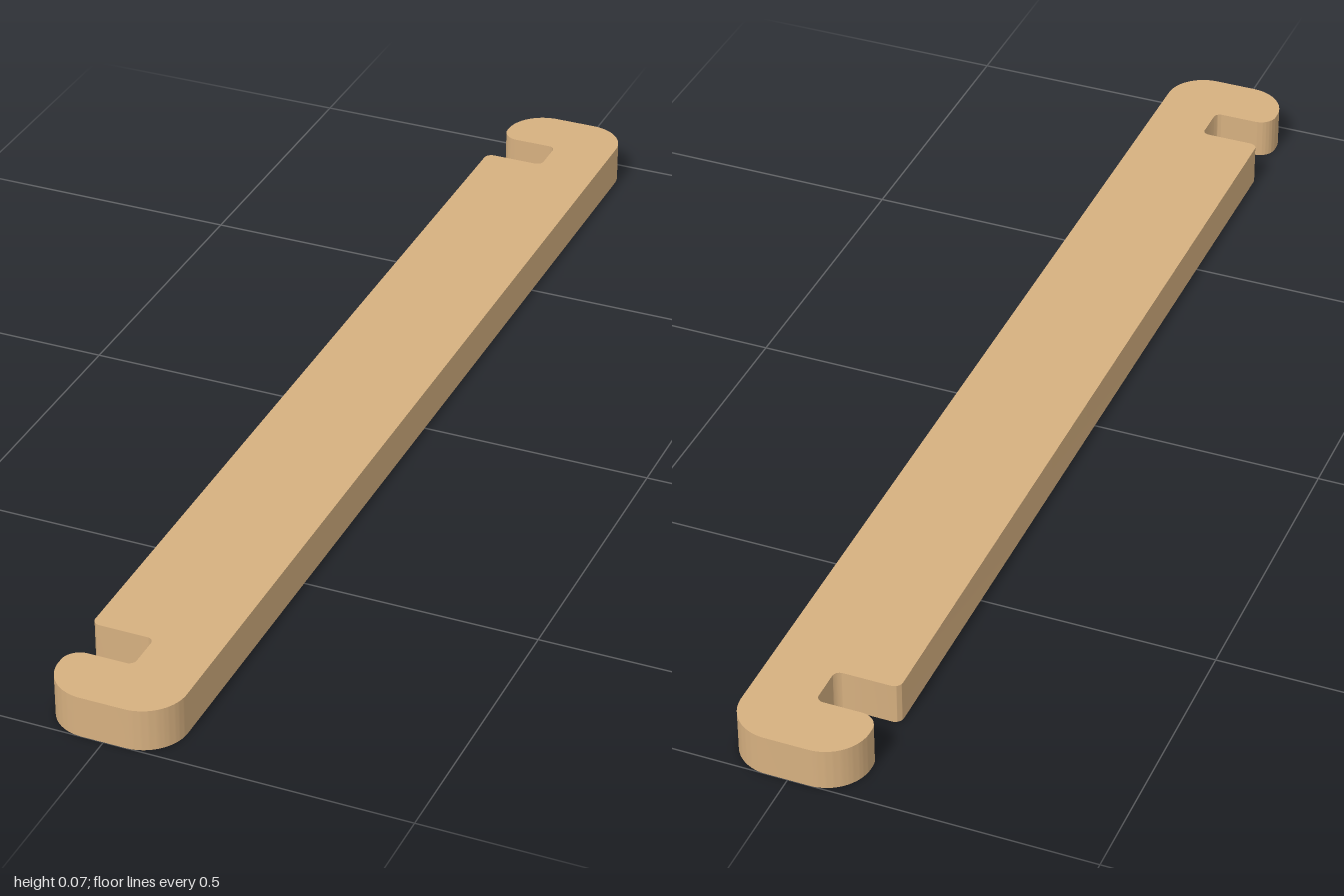
import * as THREE from 'three';
import { toCreasedNormals } from 'three/addons/utils/BufferGeometryUtils.js';

// Closed shape from corners [x, y, radius], each rounded by its radius
function roundedOutline(corners) {
  const shape = new THREE.Shape();
  const n = corners.length;
  corners.forEach(([x, y, r], i) => {
    const p = new THREE.Vector2(x, y);
    const prev = new THREE.Vector2(...corners[(i + n - 1) % n].slice(0, 2));
    const next = new THREE.Vector2(...corners[(i + 1) % n].slice(0, 2));
    const dIn = p.clone().sub(prev).normalize();
    const dOut = next.clone().sub(p).normalize();
    const a = p.clone().addScaledVector(dIn, -r);
    const b = p.clone().addScaledVector(dOut, r);
    const turn = dIn.cross(dOut); // +1 left turn, -1 right turn
    const c = a.clone().add(new THREE.Vector2(-dIn.y, dIn.x).multiplyScalar(r * turn));
    if (i === 0) shape.moveTo(a.x, a.y);
    else shape.lineTo(a.x, a.y);
    shape.absarc(c.x, c.y, r,
      Math.atan2(a.y - c.y, a.x - c.x), Math.atan2(b.y - c.y, b.x - c.x), turn < 0);
  });
  shape.closePath();
  return shape;
}

export function createModel() {
  const group = new THREE.Group();
  group.name = 'hookedBar';
  const wood = new THREE.MeshStandardMaterial({ color: 0xd6b080 });
  wood.name = 'light wood';

  const W = 0.106, H = 0.071;
  // One end: outer corner, hook tip, slot, then the shoulder of the bar
  const end = [
    [W, 1, 0.07],
    [-W, 1, 0.07],
    [-W, 0.893, 0.03],
    [0, 0.893, 0.012],
    [0, 0.82, 0.012],
    [-W, 0.82, 0.014],
  ];
  const mirrored = end.map(([x, y, r]) => [x, -y, r]).reverse();

  const geometry = new THREE.ExtrudeGeometry(roundedOutline([...end, ...mirrored]), {
    depth: H, bevelEnabled: false, curveSegments: 14,
  });
  geometry.rotateX(Math.PI / 2).translate(0, H, 0);

  const bar = new THREE.Mesh(toCreasedNormals(geometry, 0.6), wood);
  bar.name = 'barWithEndHooks';
  group.add(bar);
  return group;
}
